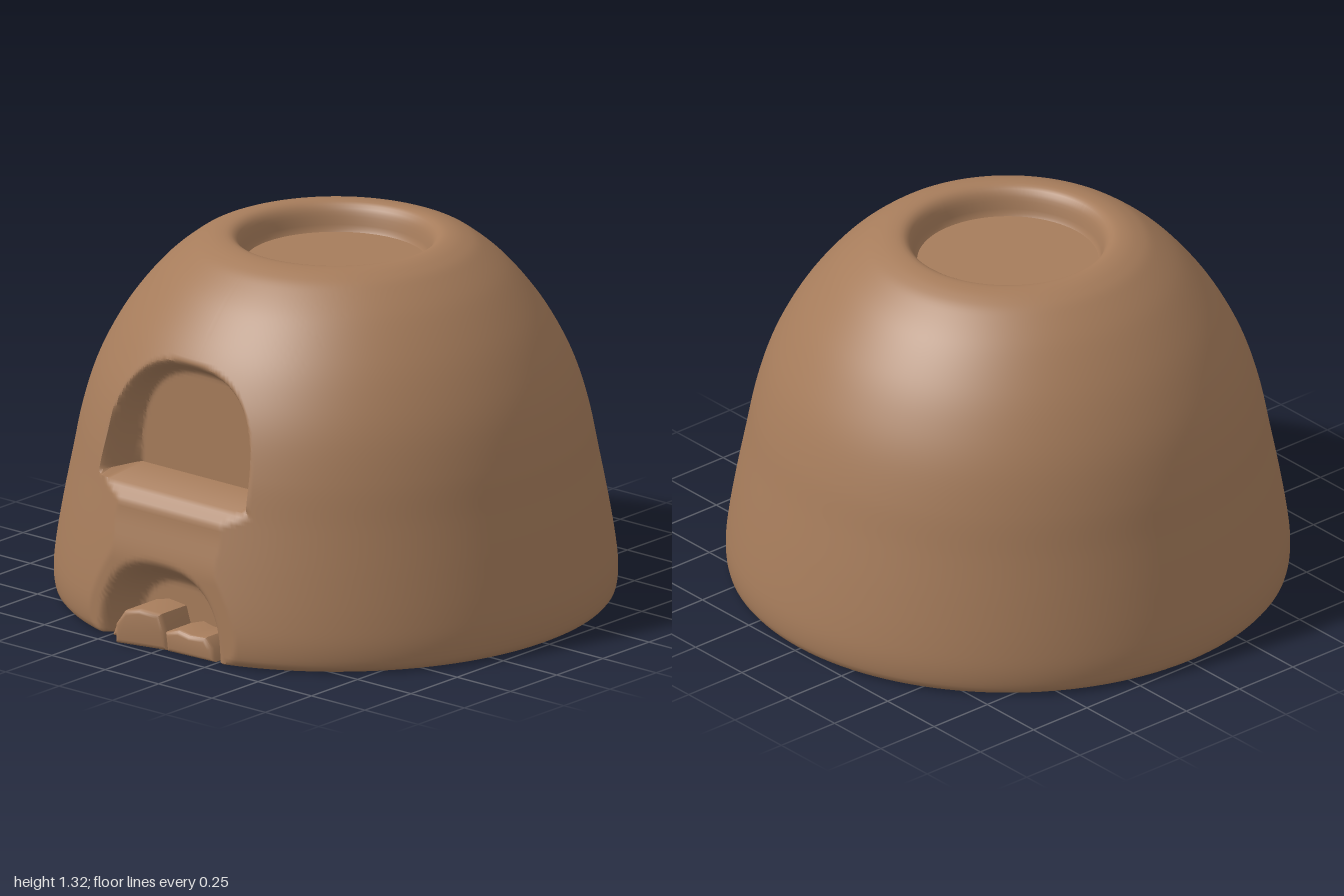
import * as THREE from 'three';
import { toCreasedNormals } from 'three/addons/utils/BufferGeometryUtils.js';

const clay = new THREE.MeshStandardMaterial({ color: 0xa67c5b });
clay.name = 'clay';

const { lerp, smoothstep } = THREE.MathUtils;
const vec = ([x, y]) => new THREE.Vector2(x, y);

// Distance from an arch centre: 1 on the outer rim, 0 in the middle
const arch = (x, y, halfWidth, height) =>
  (Math.abs(x / halfWidth) ** 2.5 + Math.abs(y / height) ** 2.5) ** 0.4;

// Front depth after flattening the face and carving both arched niches
function carve(x, y, z) {
  if (z < 0.5 || y > 1.1) return z;
  if (y < 0.572) {
    const cap = 0.94 - 0.035 * smoothstep(y, 0.3, 0.52) - 0.05 * smoothstep(y, 0.5, 0.572);
    z = lerp(z, Math.min(z, cap), 1 - smoothstep(Math.abs(x), 0.36, 0.48));
  }
  // upper opening with a level sill
  if (y > 0.572) {
    const m = 1 - smoothstep(arch(x + 0.03, y - 0.6, 0.355, 0.43), 0.83, 1);
    z = lerp(z, Math.min(z, 0.67), m);
  }
  // fire mouth at the ground
  const m = 1 - smoothstep(arch(x + 0.01, y, 0.29, 0.33), 0.66, 1);
  return lerp(z, Math.min(z, 0.81), m);
}

// Domed body with a sunken round top
function makeBody() {
  const wall = new THREE.SplineCurve([
    [0.97, 0.01], [0.993, 0.03], [1, 0.1], [0.99, 0.2], [0.965, 0.35], [0.932, 0.52],
    [0.9, 0.68], [0.855, 0.83], [0.795, 0.96], [0.72, 1.08], [0.62, 1.2], [0.52, 1.285],
    [0.46, 1.317], [0.41, 1.33], [0.37, 1.327], [0.345, 1.3], [0.328, 1.24],
  ].map(vec));
  const profile = [vec([0, 0.01]), ...wall.getSpacedPoints(115), vec([0.322, 1.23]), vec([0, 1.23])];
  const geo = new THREE.LatheGeometry(profile, 280, -Math.PI, Math.PI * 2);
  const p = geo.attributes.position;
  for (let i = 0; i < p.count; i++) {
    const r = Math.hypot(p.getX(i), p.getZ(i));
    const u = Math.atan2(p.getX(i), p.getZ(i)) / Math.PI;
    // crowd the columns towards the front, where the niches are
    const phi = Math.PI * (0.32 * u + 0.68 * u ** 3);
    const x = r * Math.sin(phi), y = p.getY(i);
    p.setXYZ(i, x, y, carve(x, y, r * Math.cos(phi)));
  }
  return new THREE.Mesh(toCreasedNormals(geo, 0.85), clay);
}

// Chunk lying in the fire mouth; slant turns its front face sideways
function makeChunk(outline, front, slant) {
  const bevel = 0.018, back = 0.76;
  const geo = new THREE.ExtrudeGeometry(new THREE.Shape(outline.map(vec)), {
    depth: front - back - 2 * bevel, steps: 1,
    bevelThickness: bevel, bevelSize: bevel, bevelOffset: -bevel, bevelSegments: 3,
  });
  geo.translate(0, 0, back + bevel);
  const p = geo.attributes.position;
  for (let i = 0; i < p.count; i++) {
    p.setZ(i, p.getZ(i) - slant * (p.getX(i) - outline[0][0]));
  }
  return new THREE.Mesh(toCreasedNormals(geo, 0.7), clay);
}

export function createModel() {
  const model = new THREE.Group();
  model.name = 'clayOven';

  const body = makeBody();
  body.name = 'domeBody';
  model.add(body);

  const chunks = [
    ['largeChunk', [[-0.175, 0.01], [0.03, 0.01], [0.02, 0.08], [0, 0.142], [-0.08, 0.15], [-0.14, 0.135], [-0.175, 0.08]], 1, 0.25],
    ['flatChunk', [[0.03, 0.01], [0.24, 0.01], [0.23, 0.06], [0.2, 0.095], [0.13, 0.09], [0.08, 0.1], [0.02, 0.08]], 0.955, 0.06],
    ['smallChunk', [[-0.24, 0.01], [-0.14, 0.01], [-0.16, 0.075], [-0.225, 0.05]], 0.94, 0],
  ];
  for (const [name, outline, front, slant] of chunks) {
    const chunk = makeChunk(outline, front, slant);
    chunk.name = name;
    model.add(chunk);
  }
  return model;
}
